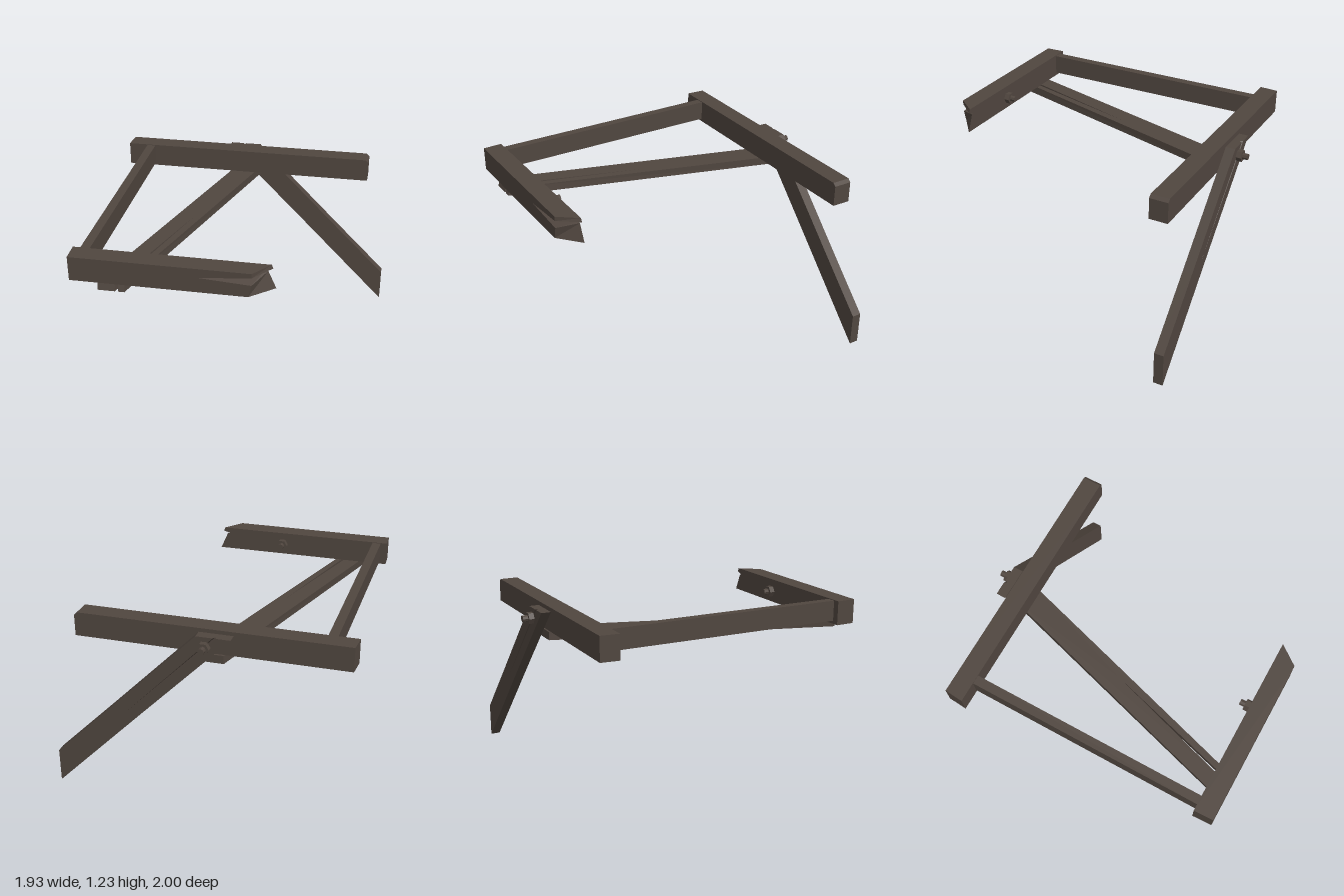
import * as THREE from 'three';

const wood = new THREE.MeshStandardMaterial({ color: 0x50463f });
wood.name = 'dark weathered wood';

// Flat-faced solid through matching cross-sections; a and b are the axes in which the end caps lie.
function loft(sections, a, b) {
  let flat = sections[0].map(p => new THREE.Vector2(p[a], p[b]));
  if (THREE.ShapeUtils.isClockWise(flat)) {
    flat.reverse();
    sections = sections.map(s => [...s].reverse());
  }
  const n = flat.length, tris = [];
  const first = sections[0], last = sections[sections.length - 1];
  for (const [i, j, k] of THREE.ShapeUtils.triangulateShape(flat, [])) {
    tris.push([first[i], first[k], first[j]], [last[i], last[j], last[k]]);
  }
  for (let s = 0; s < sections.length - 1; s++) {
    const p = sections[s], q = sections[s + 1];
    for (let i = 0; i < n; i++) {
      const j = (i + 1) % n;
      tris.push([p[i], p[j], q[j]], [p[i], q[j], q[i]]);
    }
  }
  // Turn the faces outward using the signed volume
  const v = tris.map(t => t.map(c => new THREE.Vector3(...c)));
  const volume = v.reduce((sum, [x, y, z]) => sum + x.dot(y.clone().cross(z)), 0);
  if (volume < 0) v.forEach(t => t.reverse());
  const geometry = new THREE.BufferGeometry().setFromPoints(v.flat());
  geometry.computeVertexNormals();
  return geometry;
}

export function createModel() {
  const model = new THREE.Group();
  model.name = 'brokenFrame';
  const add = (name, geometry, parent = model) => {
    const mesh = new THREE.Mesh(geometry, wood);
    mesh.name = name;
    parent.add(mesh);
    return mesh;
  };
  const atZ = (z, points) => points.map(([x, y]) => [x, y, z]);
  const atY = (y, points) => points.map(([x, z]) => [x, y, z]);

  // Rear beam with a chipped upper corner
  const rearEnd = x => [[x, 1.07], [0.81, 1.07], [0.81, 1.21], [0.79, 1.23], [x, 1.23]];
  add('rearBeam', loft([atZ(-0.73, rearEnd(-0.97)), atZ(-0.855, rearEnd(-0.96))], 0, 1));

  // Front beam with a splintered, slanting end
  add('frontBeam', loft([
    atZ(1.0, [[-0.875, 1.07], [0.23, 1.07], [0.25, 1.15], [-0.08, 1.17], [0.25, 1.2], [0.25, 1.23], [-0.875, 1.23]]),
    atZ(0.87, [[-0.88, 1.07], [0.38, 1.07], [0.33, 1.185], [0.31, 1.19], [0.36, 1.205], [0.35, 1.23], [-0.88, 1.23]]),
  ], 0, 1));

  // Straight side rail
  add('sideRail', new THREE.BoxGeometry(0.06, 0.135, 1.61)).position.set(-0.805, 1.158, 0.07);

  // Diagonal brace under both beams, split along its front half
  const brace = z => [[-0.165, -0.86], [0.01, -0.86], [-0.535, z], [-0.575, z], [-0.31, 0.04], [-0.595, z], [-0.705, z]];
  add('diagonalBrace', loft([atY(1.01, brace(0.985)), atY(1.065, brace(0.97))], 0, 2));

  // Sloping leg, level at the top and upright at the foot, with a tapering crack in its back
  const legSection = (left, right, crackWidth, crackDepth) => {
    const at = (t, z) => [
      THREE.MathUtils.lerp(left[0], right[0], t), THREE.MathUtils.lerp(left[1], right[1], t), z];
    return [at(0, -0.865), at(1, -0.865), at(1, -0.93),
      at(0.46 + crackWidth, -0.93), at(0.46, -0.93 + crackDepth), at(0.46 - crackWidth, -0.93), at(0, -0.93)];
  };
  add('slopingLeg', loft([
    legSection([-0.23, 1.21], [-0.01, 1.21], 0.05, 0.02),
    legSection([0.365, 0.61], [0.585, 0.61], 0.0005, 0),
    legSection([0.965, 0], [0.965, 0.23], 0.0005, 0),
  ], 0, 2));

  // Bolts, each a hexagonal nut on a protruding shaft
  for (const [name, x, z] of [['legBolt', -0.065, -0.93], ['frontBolt', -0.1, 0.87]]) {
    const bolt = new THREE.Group();
    bolt.name = name;
    bolt.position.set(x, 1.145, z);
    const nut = new THREE.CylinderGeometry(0.04, 0.04, 0.035, 6).toNonIndexed();
    const shaft = new THREE.CylinderGeometry(0.021, 0.021, 0.17, 8).toNonIndexed();
    for (const g of [nut, shaft]) {
      g.rotateX(Math.PI / 2);
      g.computeVertexNormals();
    }
    nut.rotateZ(Math.PI / 6);
    add('nut', nut, bolt).position.z = -0.0175;
    add('shaft', shaft, bolt).position.z = 0.015;
    model.add(bolt);
  }
  return model;
}
